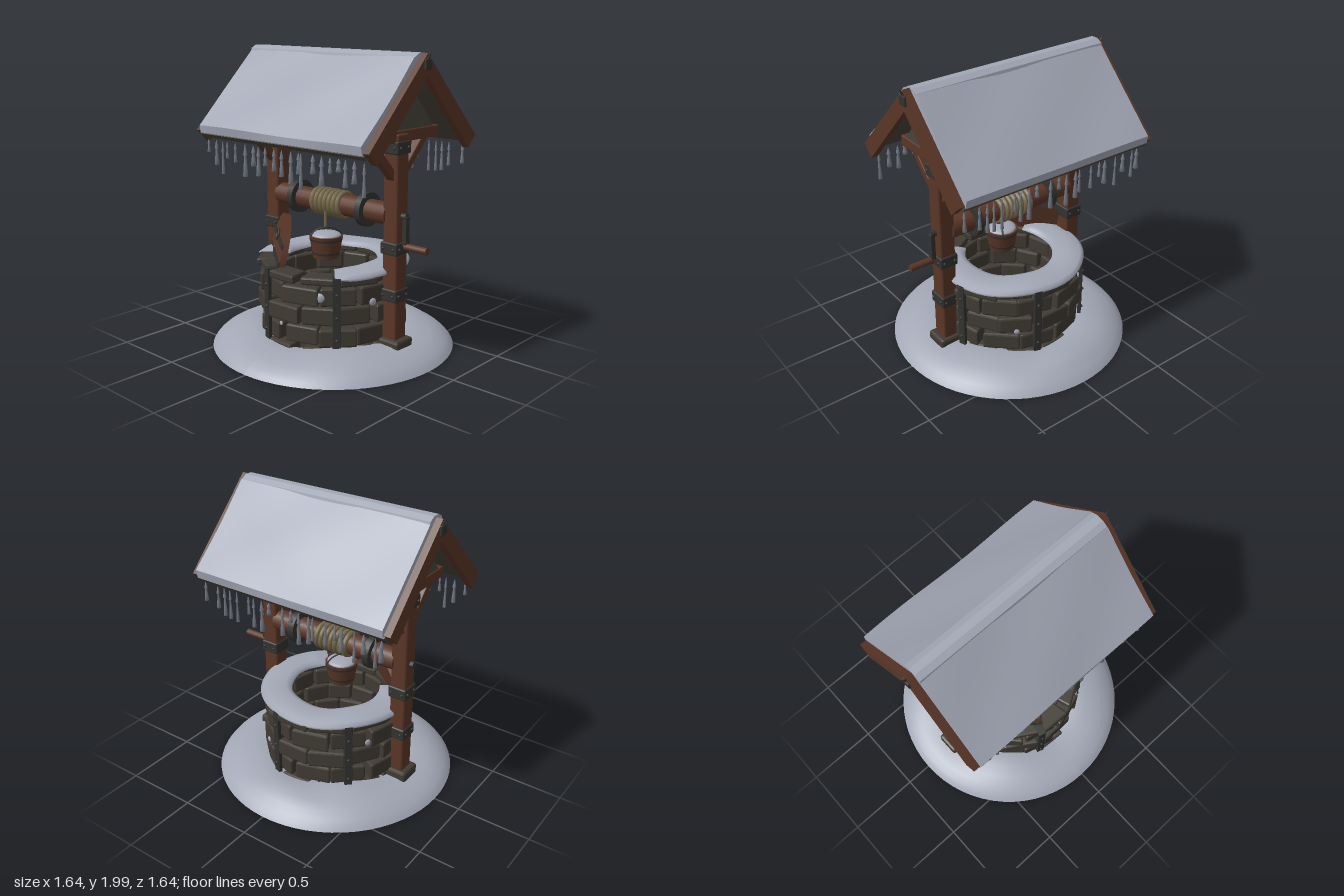
import * as THREE from 'three';
import { RoundedBoxGeometry } from 'three/addons/geometries/RoundedBoxGeometry.js';

const mat = (name, color, extra = {}) => {
  const m = new THREE.MeshStandardMaterial({ color, ...extra });
  m.name = name;
  return m;
};

export function createModel() {
  const model = new THREE.Group();
  model.name = 'snowyWell';
  const snow = mat('snow', 0xa2a7b5, { side: THREE.DoubleSide });
  const wood = mat('wood', 0x5a3627);
  const stone = mat('stone', 0x403b33, { flatShading: true, side: THREE.DoubleSide });
  const metal = mat('darkIron', 0x32322f);
  const rope = mat('rope', 0x746748);
  const boards = mat('roofBoards', 0x48443c);
  const ice = mat('ice', 0x747985);

  let seed = 7;
  const rand = () => (seed = (seed * 16807) % 2147483647) / 2147483647;

  const add = (name, geo, material, x = 0, y = 0, z = 0, parent = model) => {
    const m = new THREE.Mesh(geo, material);
    m.name = name;
    m.position.set(x, y, z);
    parent.add(m);
    return m;
  };
  const box = (w, h, d) => new RoundedBoxGeometry(w, h, d, 1, Math.min(w, h, d) * 0.12);
  const rod = (r, len, sides = 12) => new THREE.CylinderGeometry(r, r, len, sides).rotateZ(Math.PI / 2);
  const lathe = (pts, seg, start, len) =>
    new THREE.LatheGeometry(pts.map(p => new THREE.Vector2(...p)), seg, start, len);
  // Moves every vertex by a rule
  const warp = (geo, rule) => {
    const p = geo.attributes.position, v = new THREE.Vector3();
    for (let i = 0; i < p.count; i++) {
      rule(v.fromBufferAttribute(p, i));
      p.setXYZ(i, v.x, v.y, v.z);
    }
    geo.computeVertexNormals();
    return geo;
  };
  // Extrudes a (z, y) outline along x, centred
  const profile = (pts, depth) => {
    const shape = new THREE.Shape(pts.map(p => new THREE.Vector2(...p)));
    return new THREE.ExtrudeGeometry(shape, { depth, bevelEnabled: false })
      .translate(0, 0, -depth / 2).rotateY(-Math.PI / 2);
  };
  const chevron = (top, z1, y1, z2, y2, inner, depth) =>
    profile([[0, top], [-z1, y1], [-z2, y2], [0, inner], [z2, y2], [z1, y1]], depth);

  // Snow mound around the foot, with a drift at the back
  add('snowMound', warp(lathe([[0.82, 0.015], [0.8, 0.04], [0.77, 0.066], [0.72, 0.096], [0.66, 0.118],
    [0.58, 0.135], [0.5, 0.138], [0.45, 0.125], [0.4, 0.1]], 64), v => {
    const a = Math.atan2(v.z, v.x), r = Math.hypot(v.x, v.z);
    const w = Math.max(0, Math.min(1, (0.82 - r) / 0.2));
    v.y += w * (0.008 * Math.sin(3 * a + 1) - 0.014 * Math.cos(4 * a));
    v.y += w * 0.035 * Math.exp(-(v.x * v.x / 0.05 + (v.z + 0.64) ** 2 / 0.008));
  }), snow);

  // Stone wall: four courses and a thinner top course around a mortar core
  const wall = new THREE.Group();
  wall.name = 'stoneWall';
  model.add(wall);
  add('mortar', new THREE.CylinderGeometry(0.4, 0.4, 0.52, 24, 1, true), stone, 0, 0.32, 0, wall);
  const courses = [[0.075, 0.13], [0.208, 0.122], [0.342, 0.122], [0.475, 0.126], [0.573, 0.058]];
  courses.forEach(([y, h], row) => {
    for (let i = 0; i < 12; i++) {
      const holder = new THREE.Group();
      holder.rotation.y = (i + (row % 2) / 2 + (rand() - 0.5) * 0.16) * Math.PI / 6;
      wall.add(holder);
      const depth = 0.125 + rand() * 0.035;
      const r = 0.345 + depth / 2;
      const width = (row ? 0.2 : 0.175) + rand() * 0.02;
      const geo = warp(new RoundedBoxGeometry(width, h - rand() * 0.008, depth, 1, 0.013),
        v => { v.x *= (r + v.z) / 0.42; });
      add('stone', geo, stone, 0, y, r, holder);
    }
  });

  // Iron straps on the wall
  for (let i = 0; i < 6; i++) {
    const g = new THREE.Group();
    g.name = 'wallStrap';
    g.rotation.y = -Math.PI * (105 + i * 60) / 180;
    model.add(g);
    add('strap', box(0.025, 0.47, 0.052), metal, 0.502, 0.36, 0, g);
    add('strapHook', box(0.08, 0.018, 0.052), metal, 0.474, 0.598, 0, g);
    for (const y of [0.2, 0.35, 0.5]) add('rivet', new THREE.SphereGeometry(0.011, 8, 6), metal, 0.515, y, 0, g);
  }

  // Snow lying on the rim, thinning out at both ends
  const start = 0.76, span = 4.55;
  add('rimSnow', warp(lathe([[0.3, 0.6], [0.305, 0.622], [0.34, 0.636], [0.42, 0.64], [0.49, 0.628],
    [0.515, 0.608], [0.51, 0.59]], 48, start, span), v => {
    const a = (Math.atan2(v.x, v.z) + Math.PI * 2) % (Math.PI * 2);
    const t = Math.min(1, Math.min(a - start, start + span - a) / 0.3 + 0.3);
    v.y = 0.606 + (v.y - 0.606) * t + 0.005 * Math.sin(5 * a);
  }), snow);
  // Small snow dabs on the stones
  for (const [a, y, s] of [[0.57, 0.475, 1.1], [0, 0.265, 0.5], [1.27, 0.43, 0.9], [2.6, 0.3, 0.7], [4.2, 0.45, 0.8]]) {
    const dab = add('snowDab', new THREE.SphereGeometry(0.028 * s, 10, 8), snow,
      0.495 * Math.sin(a), y, 0.495 * Math.cos(a));
    dab.rotation.y = a;
    dab.scale.z = 0.4;
  }

  // Posts with collars, cross beams, braces and gables
  for (const s of [-1, 1]) {
    const g = new THREE.Group();
    g.name = s < 0 ? 'rightFrame' : 'leftFrame';
    g.position.x = s * 0.528;
    model.add(g);
    add('post', box(0.112, 1.48, 0.115), wood, 0, 0.755, 0, g);
    add('postFoot', box(0.17, 0.145, 0.165), stone, s * 0.01, 0.1, 0, g);
    for (const y of [0.463, 0.77, 1.41]) {
      add('collar', box(0.13, 0.082, 0.138), metal, 0, y, 0, g);
      for (const k of [-0.04, 0.04]) {
        add('rivet', new THREE.SphereGeometry(0.01, 8, 6), metal, s * 0.066, y, k, g);
        for (const z of [-0.07, 0.07]) add('rivet', new THREE.SphereGeometry(0.01, 8, 6), metal, k, y, z, g);
      }
    }
    add('crossBeam', box(0.085, 0.075, 0.76), wood, 0, 1.478, 0, g);
    for (const k of [-1, 1]) {
      const brace = add('brace', box(0.06, 0.05, 0.33), wood, 0, 1.335, k * 0.145, g);
      brace.rotation.x = -k * 0.81;
    }
    add('gablePanel', profile([[-0.34, 1.5], [0.34, 1.5], [0, 1.88]], 0.03), boards, s * 0.02, 0, 0, g);
    // Bargeboards and ridge ironwork
    add('bargeboard', chevron(1.985, 0.53, 1.45, 0.455, 1.375, 1.85, 0.045), wood, s * 0.2, 0, 0, g);
    add('ridgePlate', profile([[-0.065, 1.75], [-0.045, 1.735], [0.045, 1.735], [0.065, 1.75],
      [0.06, 1.785], [0, 1.845], [-0.06, 1.785]], 0.02), metal, s * 0.045, 0, 0, g);
    for (const k of [-0.035, 0.035]) add('rivet', new THREE.SphereGeometry(0.01, 8, 6), metal, s * 0.055, 1.765, k, g);
    add('ridgeCap', box(0.05, 0.065, 0.065), metal, s * 0.21, 1.92, 0, g);
    const hook = add('ridgeHook', new THREE.ConeGeometry(0.01, 0.06, 6), metal, s * 0.235, 1.972, 0, g);
    hook.rotation.z = -s * 0.5;
  }

  // Roof
  add('roofBoards', chevron(1.955, 0.53, 1.43, 0.505, 1.405, 1.905, 1.42), boards);
  add('ridgePole', box(1.45, 0.06, 0.06), wood, 0, 1.9, 0);
  add('ridgeSnow', warp(profile([[-0.075, 1.93], [0.075, 1.93], [0.064, 1.968], [0.025, 1.99],
    [-0.025, 1.99], [-0.064, 1.968]], 1.41), v => { v.y -= v.x > 0 ? 0.004 : -0.008; }), snow);
  for (const side of [0, 1]) {
    const g = new THREE.Group();
    g.name = side ? 'backRoofSlope' : 'frontRoofSlope';
    g.rotation.y = side * Math.PI;
    model.add(g);
    const sheet = add('roofSnow', warp(new THREE.BoxGeometry(1.41, 0.045, 0.672, 20, 1, 10), v => {
      if (v.y > 0) v.y += 0.008 * Math.sin(v.x * 6 + 1 + side) * Math.cos(v.z * 7) - 0.006;
      else if (v.z > 0.33) v.z += 0.03;
    }), snow, 0, 1.712, 0.292, g);
    sheet.rotation.x = Math.PI / 4;
    // Icicles along the eave
    for (let i = 0; i < 21; i++) {
      const len = 0.06 + rand() * 0.16;
      const w = 0.7 + rand() * 0.5;
      add('icicle', lathe([[0, -len], [0.016 * w, -len], [0.012 * w, -len * 0.7], [0.007 * w, -len * 0.36],
        [0.013 * w, -len * 0.33], [0.002, 0]], 7), ice, -0.695 + (i + rand() * 0.8) * 0.067, 1.39, 0.487, g);
    }
  }

  // Windlass with iron rings, rope and crank
  add('drum', rod(0.073, 0.98, 16), wood, 0, 0.978, 0);
  add('axle', rod(0.022, 1.23), metal, 0.005, 0.978, 0);
  for (const x of [-0.305, 0.3]) add('drumRing', rod(0.113, 0.045, 20), metal, x, 0.98, 0);
  for (let i = 0; i < 7; i++) {
    const turn = add('ropeTurn', new THREE.TorusGeometry(0.079, 0.018, 8, 20).rotateY(Math.PI / 2), rope,
      -0.122 + i * 0.038, 0.978, 0);
    turn.rotation.z = 0.06;
  }
  add('crankArm', box(0.032, 0.19, 0.038), metal, 0.612, 0.885, 0);
  add('crankHandle', rod(0.023, 0.17), wood, 0.695, 0.787, 0);

  // Bucket
  const bucket = new THREE.Group();
  bucket.name = 'bucket';
  bucket.position.set(0.005, 0.62, 0.075);
  model.add(bucket);
  add('bucketBody', new THREE.CylinderGeometry(0.113, 0.088, 0.15, 16), wood, 0, 0.075, 0, bucket);
  for (const [y, r] of [[0.035, 0.094], [0.125, 0.109]])
    add('bucketBand', new THREE.CylinderGeometry(r + 0.003, r, 0.016, 16), metal, 0, y, 0, bucket);
  const heap = add('bucketSnow', new THREE.SphereGeometry(0.1, 16, 8, 0, Math.PI * 2, 0, Math.PI / 2), snow, 0, 0.15, 0, bucket);
  heap.scale.y = 0.28;
  const bail = add('bail', new THREE.TorusGeometry(0.108, 0.006, 6, 20, Math.PI), metal, 0, 0.13, 0, bucket);
  bail.rotation.y = 1.0;
  bail.scale.y = 0.7;
  add('hangingRope', new THREE.CylinderGeometry(0.009, 0.009, 0.17, 8), rope, -0.005, 0.285, 0, bucket);

  // Half lid leaning on the rim, ironwork on its outer face
  const lid = new THREE.Group();
  lid.name = 'halfLid';
  lid.position.set(-0.295, 0.605, 0.235);
  lid.rotation.set(-0.25, -0.68, 0, 'YXZ');
  model.add(lid);
  const half = new THREE.Shape().absarc(0, 0, 0.29, 0, Math.PI);
  add('lidBoard', new THREE.ExtrudeGeometry(half, { depth: 0.04, bevelEnabled: false, curveSegments: 16 }),
    wood, 0, 0, -0.02, lid);
  for (const [y, w] of [[0.012, 0.585], [0.125, 0.54]])
    add('lidStrap', box(w, 0.03, 0.014), metal, 0, y, 0.024, lid);
  add('lidRing', new THREE.TorusGeometry(0.033, 0.008, 8, 16), metal, 0, 0.145, 0.034, lid);
  return model;
}
